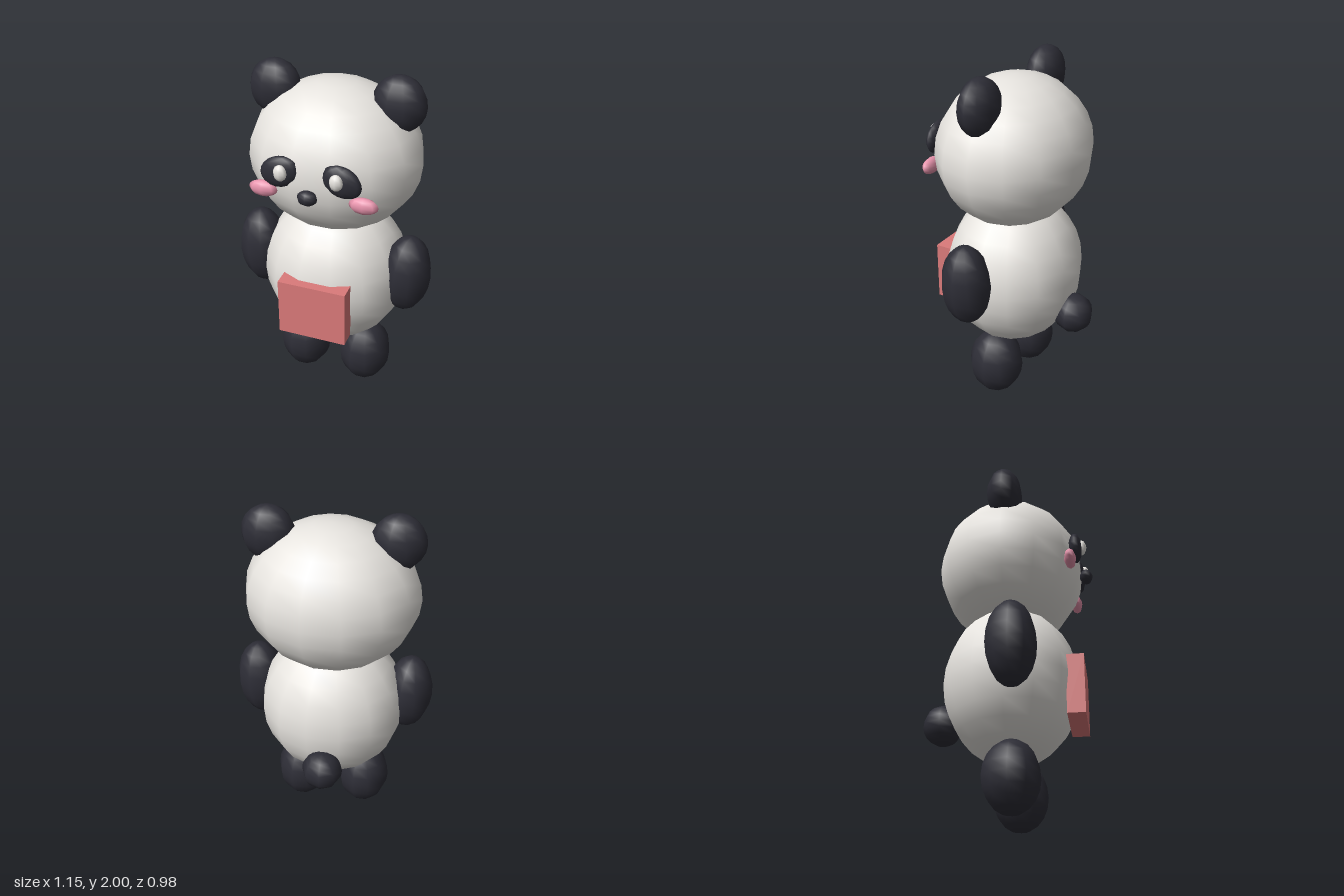
import * as THREE from 'three';

const mat = (name, color) => {
  const m = new THREE.MeshStandardMaterial({ color });
  m.name = name;
  return m;
};

export function createModel() {
  const group = new THREE.Group();
  const white = mat('softWhite', 0xf0ede8);
  const black = mat('charcoal', 0x2d2d36);
  const pink = mat('blushPink', 0xf29ab4);
  const red = mat('coralRed', 0xdb7a7a);

  // Low-sided smooth ellipsoid: position, radii, segment counts, tilt about z
  const blob = (name, material, [x, y, z], radii, w, h, tilt = 0) => {
    const mesh = new THREE.Mesh(new THREE.SphereGeometry(1, w, h), material);
    mesh.name = name;
    mesh.position.set(x, y, z);
    mesh.scale.set(...radii);
    mesh.rotation.z = tilt;
    group.add(mesh);
  };

  // Mirrored pair; the tilt is given for the model's left (+x)
  const pair = (name, material, [x, y, z], radii, w, h, tilt = 0) => {
    blob('left' + name, material, [x, y, z], radii, w, h, tilt);
    blob('right' + name, material, [-x, y, z], radii, w, h, -tilt);
  };

  // Torso, head and tail
  blob('body', white, [0, 0.78, 0.012], [0.42, 0.455, 0.385], 14, 14);
  blob('head', white, [0, 1.51, 0.012], [0.482, 0.42, 0.42], 14, 14);
  blob('tail', black, [0, 0.57, -0.375], [0.115, 0.115, 0.115], 8, 10);

  // Limbs and ears
  pair('Ear', black, [0.342, 1.845, 0.016], [0.147, 0.156, 0.102], 10, 10);
  pair('Arm', black, [0.437, 0.85, 0.065], [0.138, 0.24, 0.14], 10, 10, -0.06);
  pair('Leg', black, [0.19, 0.205, 0.032], [0.154, 0.202, 0.16], 10, 10);

  // Face
  pair('EyePatch', black, [0.167, 1.56, 0.403], [0.11, 0.085, 0.039], 10, 10, -0.4);
  pair('EyeShine', white, [0.15, 1.572, 0.44], [0.037, 0.045, 0.027], 8, 8);
  pair('Cheek', pink, [0.275, 1.43, 0.378], [0.08, 0.046, 0.034], 8, 8);
  blob('nose', black, [0, 1.463, 0.453], [0.055, 0.041, 0.038], 8, 8);

  // Square panel on the belly
  const panel = new THREE.Mesh(new THREE.BoxGeometry(0.39, 0.34, 0.1), red);
  panel.name = 'bellyPanel';
  panel.position.set(0, 0.71, 0.38);
  group.add(panel);

  return group;
}
